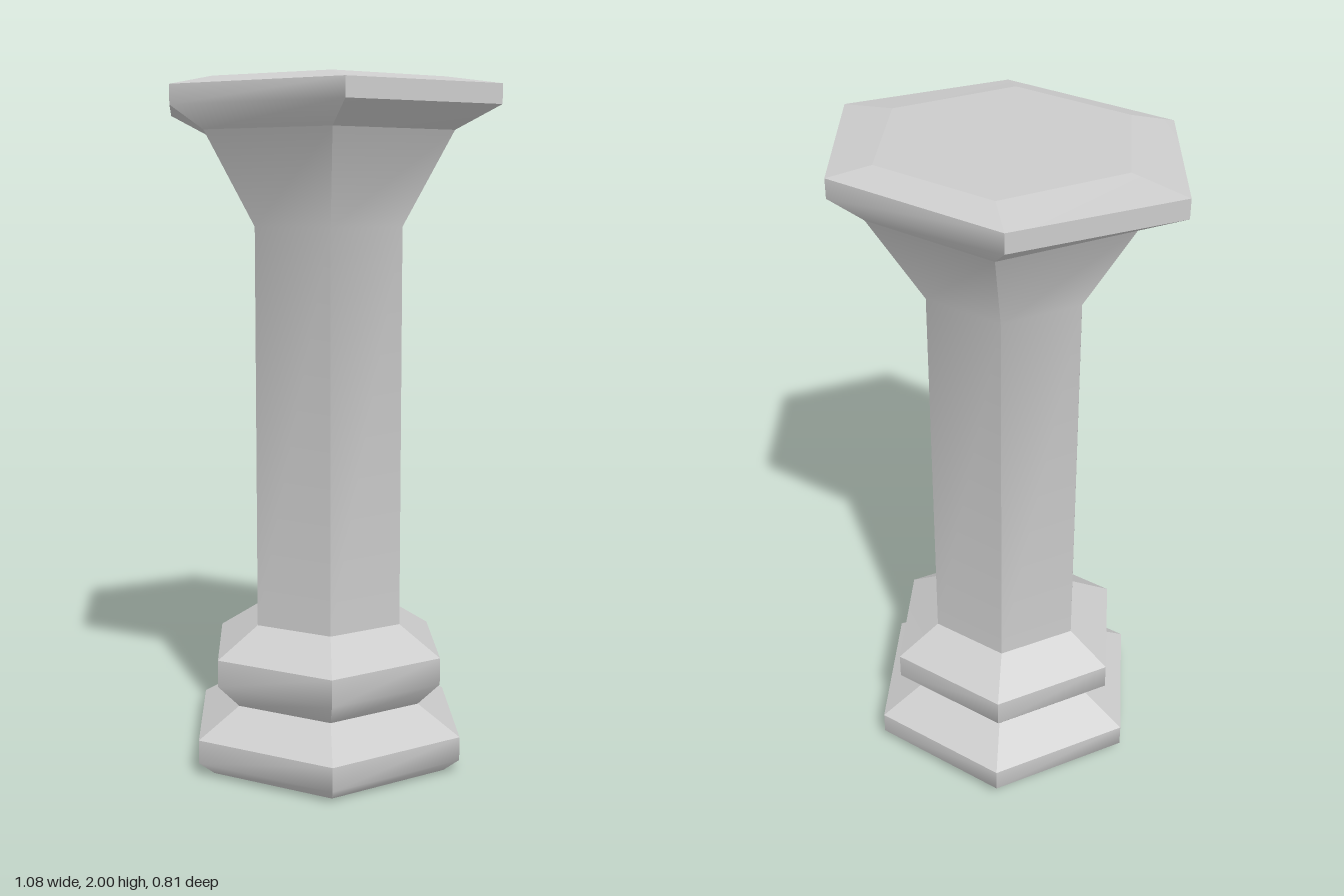
import * as THREE from 'three';
import { mergeGeometries, toCreasedNormals } from 'three/addons/utils/BufferGeometryUtils.js';

// Six-sided column section. Each row: [height, corner reach in x, flat reach in z].
// Sides are creased one by one, so corners stay sharp while the profile blends.
function hexColumn(name, rows, material, capBottom, capTop) {
  const corner = ([y, rx, rz], i) => {
    const a = (i * Math.PI) / 3;
    return [rx * Math.cos(a), y, (rz * Math.sin(a)) / Math.sin(Math.PI / 3)];
  };
  const build = (points, crease) => {
    const g = new THREE.BufferGeometry();
    g.setAttribute('position', new THREE.Float32BufferAttribute(points.flat(), 3));
    return toCreasedNormals(g, crease);
  };
  const parts = [];
  const first = rows[0], last = rows[rows.length - 1];
  for (let i = 0; i < 6; i++) {
    const side = [];
    for (let r = 0; r < rows.length - 1; r++) {
      const a = corner(rows[r], i), b = corner(rows[r], i + 1);
      const c = corner(rows[r + 1], i + 1), d = corner(rows[r + 1], i);
      side.push(a, d, b, b, d, c);
    }
    parts.push(build(side, 0.9));
    if (capBottom) parts.push(build([[0, first[0], 0], corner(first, i), corner(first, i + 1)], 0.1));
    if (capTop) parts.push(build([[0, last[0], 0], corner(last, i + 1), corner(last, i)], 0.1));
  }
  const mesh = new THREE.Mesh(mergeGeometries(parts), material);
  mesh.name = name;
  return mesh;
}

export function createModel() {
  const group = new THREE.Group();
  group.name = 'hexagonalColumn';
  const stone = new THREE.MeshStandardMaterial({ color: 0xcccccc });

  // Stepped base: foot, waist and upper ring
  group.add(hexColumn('base', [
    [0, 0.39, 0.337], [0.04, 0.44, 0.38], [0.11, 0.44, 0.38], [0.19, 0.305, 0.264],
    [0.26, 0.375, 0.323], [0.34, 0.375, 0.323], [0.425, 0.243, 0.206],
  ], stone, true, false));

  // Shaft with flared neck
  group.add(hexColumn('shaft', [
    [0.425, 0.243, 0.206], [1.59, 0.243, 0.206], [1.855, 0.4, 0.345],
  ], stone, false, false));

  // Overhanging capital with bevelled top
  group.add(hexColumn('capital', [
    [1.855, 0.4, 0.345], [1.92, 0.538, 0.406], [1.975, 0.538, 0.406], [2, 0.37, 0.32],
  ], stone, false, true));

  return group;
}
